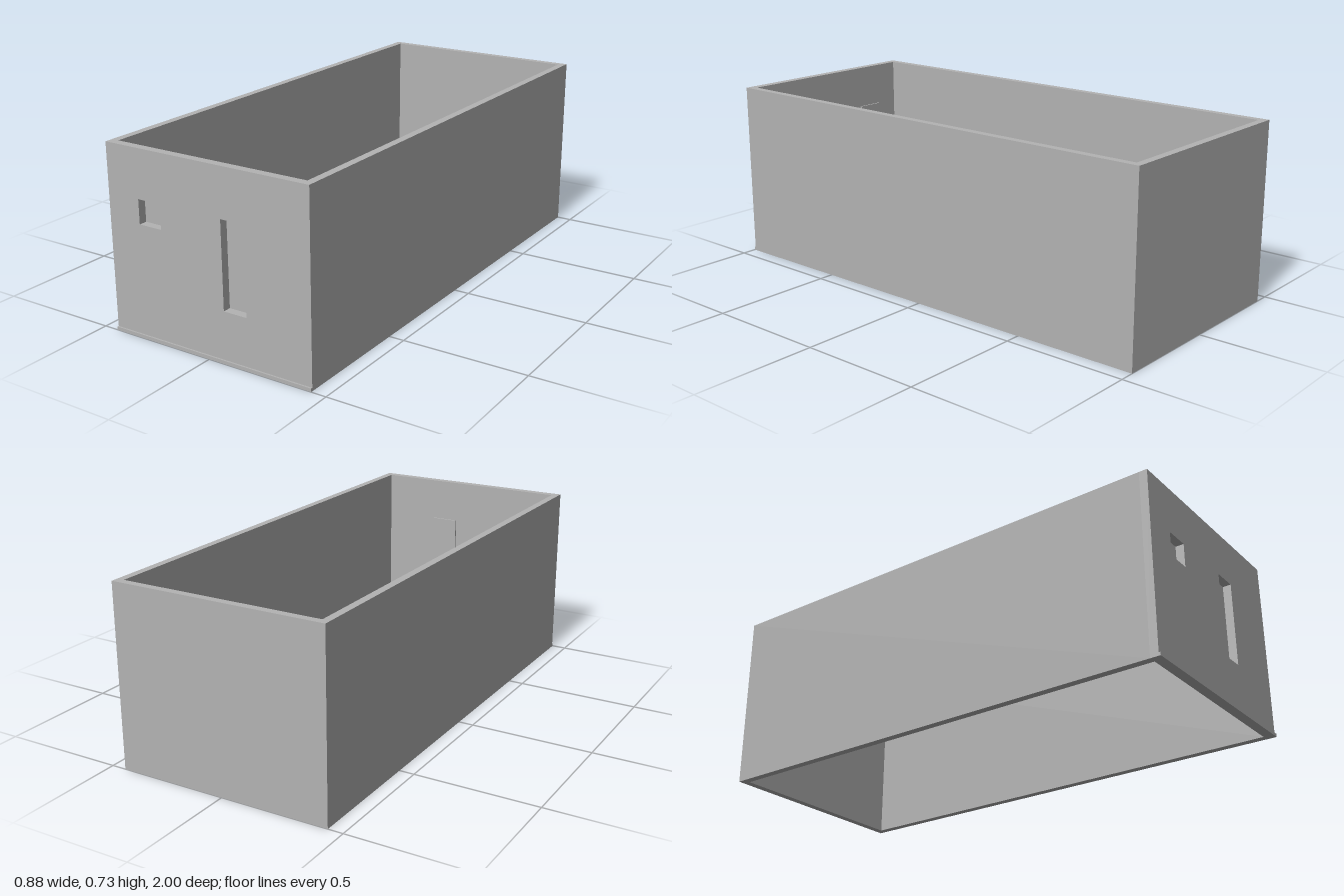
import * as THREE from 'three';

const W = 0.44, H = 0.73, INNER = 0.41;       // half width, height, inner half width
const BACK = -1, INNER_BACK = -0.97;          // back wall faces
const INNER_FRONT = 0.96, FRONT = 0.993;      // front wall faces

// Openings in the front wall: [x0, y0, x1, y1]
const openings = {
  window: [-0.30, 0.445, -0.20, 0.54],
  door: [0.07, 0.20, 0.17, 0.54],
};

function polygon(points, Type = THREE.Shape) {
  return new Type(points.map(([x, y]) => new THREE.Vector2(x, y)));
}

export function createModel() {
  const model = new THREE.Group();
  model.name = 'openBox';
  const grey = new THREE.MeshStandardMaterial({ color: 0xb3b3b3 });
  grey.name = 'wallGrey';

  const add = (name, geometry, x = 0, y = 0, z = 0) => {
    const mesh = new THREE.Mesh(geometry, grey);
    mesh.name = name;
    mesh.position.set(x, y, z);
    model.add(mesh);
    return mesh;
  };

  // Side and back walls: U-shaped plan raised to full height
  const plan = polygon([
    [-W, -INNER_FRONT], [-INNER, -INNER_FRONT], [-INNER, -INNER_BACK], [INNER, -INNER_BACK],
    [INNER, -INNER_FRONT], [W, -INNER_FRONT], [W, -BACK], [-W, -BACK],
  ]);
  const walls = new THREE.ExtrudeGeometry(plan, { depth: H, bevelEnabled: false });
  walls.rotateX(-Math.PI / 2);
  add('sideAndBackWalls', walls);

  // Front wall with two cut openings
  const face = polygon([[-W, 0], [W, 0], [W, H], [-W, H]]);
  for (const [x0, y0, x1, y1] of Object.values(openings)) {
    face.holes.push(polygon([[x0, y0], [x0, y1], [x1, y1], [x1, y0]], THREE.Path));
  }
  add('frontWall', new THREE.ExtrudeGeometry(face, { depth: FRONT - INNER_FRONT, bevelEnabled: false }),
    0, 0, INNER_FRONT);

  // Thin lip along the bottom of the front wall
  add('frontLip', new THREE.BoxGeometry(2 * W, 0.013, 1 - FRONT), 0, 0.0065, (1 + FRONT) / 2);

  // Slightly oversized panels closing the openings from inside
  const margin = 0.01, thickness = 0.007;
  for (const [name, [x0, y0, x1, y1]] of Object.entries(openings)) {
    add(name + 'Panel', new THREE.BoxGeometry(x1 - x0 + 2 * margin, y1 - y0 + 2 * margin, thickness),
      (x0 + x1) / 2, (y0 + y1) / 2, INNER_FRONT - thickness / 2);
  }
  return model;
}
